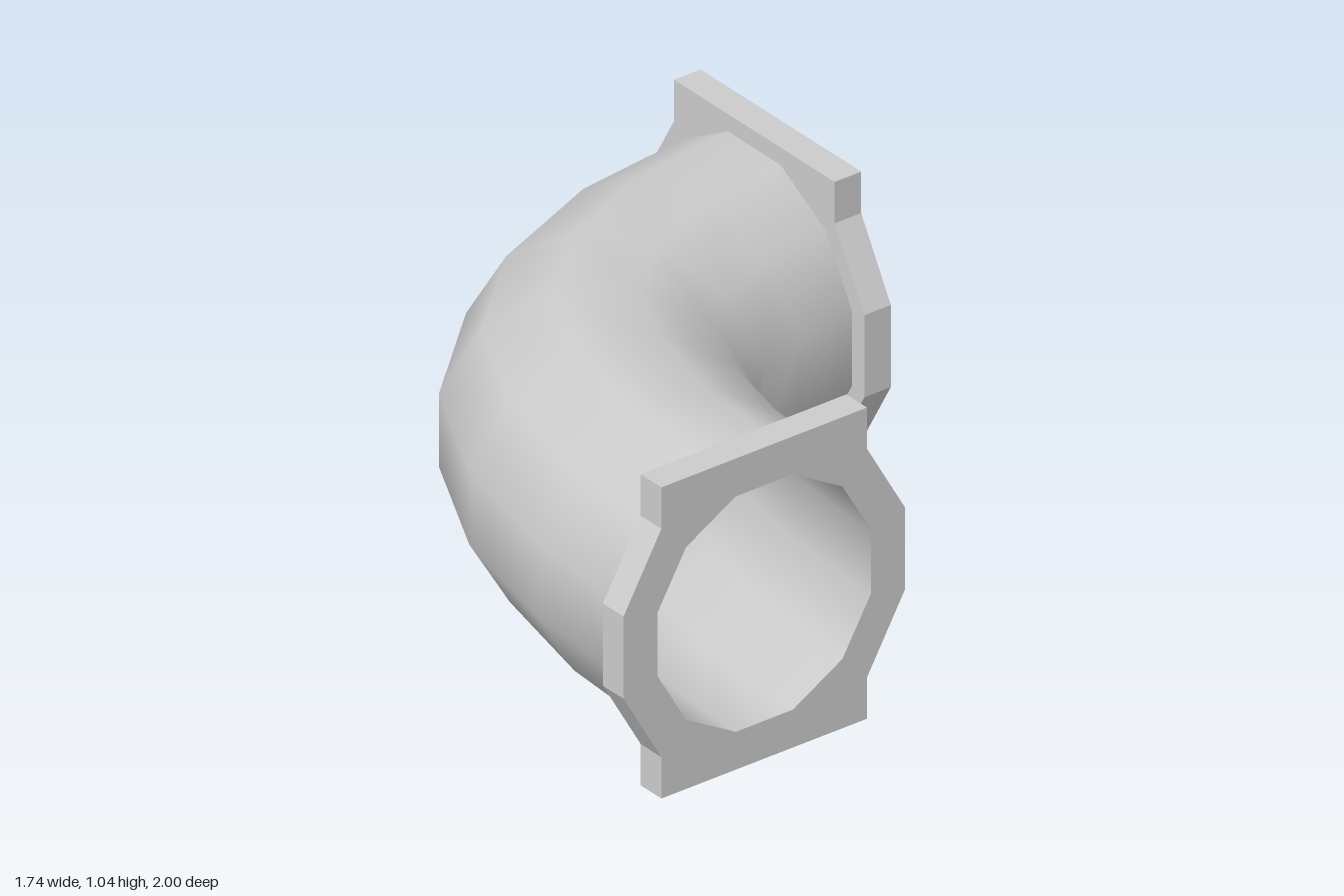
import * as THREE from 'three';

const SIDES = 12;
const MID_Y = 0.522;
const FLANGE_T = 0.098;

// Bend stations: centre x, centre z, turn angle in degrees
const BEND = [
  [-0.35, 0.902, 0], [-0.328, 0.55, 7.5], [-0.245, 0.185, 19.6], [-0.1, -0.105, 36.6],
  [0.125, -0.31, 57.9], [0.445, -0.44, 76.2], [0.77, -0.481, 90],
];

// Twelve-sided tube swept through the stations, facing outward or inward
function sweep(stations, radius, inward) {
  const pos = [], index = [];
  stations.forEach(([cx, cz, deg], i) => {
    const t = THREE.MathUtils.degToRad(deg);
    for (let j = 0; j < SIDES; j++) {
      const a = ((j + 0.5) / SIDES) * Math.PI * 2;
      const r = radius * Math.cos(a);
      pos.push(cx - Math.cos(t) * r, MID_Y + radius * Math.sin(a), cz - Math.sin(t) * r);
      if (i === stations.length - 1) continue;
      const k = (j + 1) % SIDES;
      const p = i * SIDES + j, q = i * SIDES + k, p2 = p + SIDES, q2 = q + SIDES;
      if (inward) index.push(p, p2, q, q, p2, q2);
      else index.push(p, q, p2, q, q2, p2);
    }
  });
  const geo = new THREE.BufferGeometry();
  geo.setAttribute('position', new THREE.Float32BufferAttribute(pos, 3));
  geo.setIndex(index);
  geo.computeVertexNormals();
  return geo;
}

// Flange plate: square lugs above and below, pointed cheeks, twelve-sided hole
function flangeGeometry() {
  const quarter = [[0.52, 0.138], [0.38, 0.383], [0.38, MID_Y]];
  const half = [...quarter, ...quarter.map(([x, y]) => [-x, y]).reverse()];
  const outline = [...half, ...half.map(([x, y]) => [-x, -y])];
  const shape = new THREE.Shape(outline.map(([x, y]) => new THREE.Vector2(x, y)));
  const hole = [];
  for (let j = 0; j < SIDES; j++) {
    const a = -((j + 0.5) / SIDES) * Math.PI * 2;
    hole.push(new THREE.Vector2(0.409 * Math.cos(a), 0.409 * Math.sin(a)));
  }
  shape.holes.push(new THREE.Path(hole));
  return new THREE.ExtrudeGeometry(shape, { depth: FLANGE_T, bevelEnabled: false });
}

export function createModel() {
  const group = new THREE.Group();
  const material = new THREE.MeshStandardMaterial({ color: 0xcccccc });
  const add = (name, geometry) => {
    const mesh = new THREE.Mesh(geometry, material);
    mesh.name = name;
    group.add(mesh);
    return mesh;
  };

  add('pipeOuter', sweep(BEND, 0.48, false));

  // Bore runs straight through both flanges
  add('pipeBore', sweep([[-0.35, 1, 0], ...BEND, [0.868, -0.481, 90]], 0.408, true));

  const plate = flangeGeometry();
  add('frontFlange', plate).position.set(-0.35, MID_Y, 0.902);
  const side = add('sideFlange', plate);
  side.rotation.y = Math.PI / 2;
  side.position.set(0.77, MID_Y, -0.48);

  return group;
}
